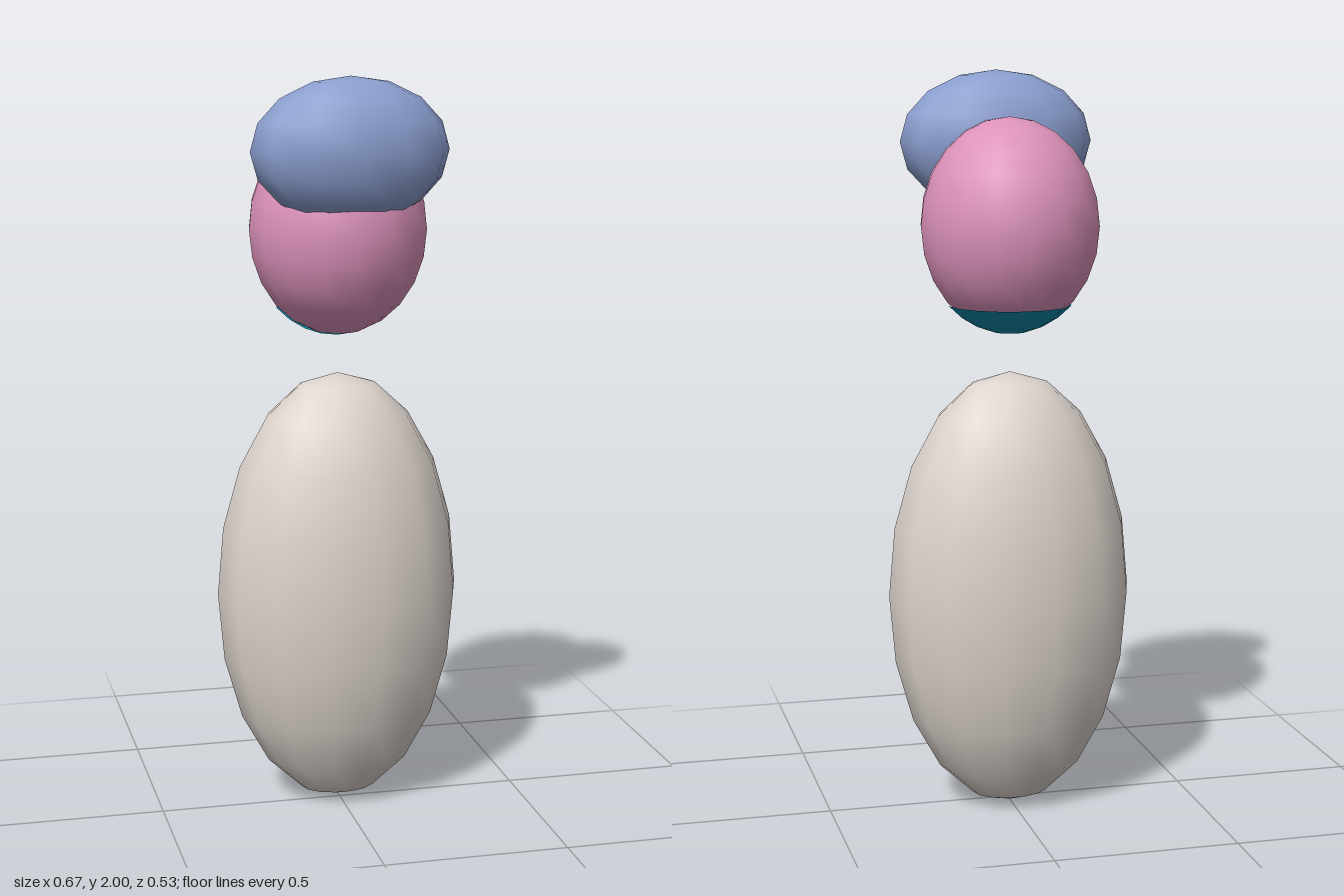
import * as THREE from 'three';

const material = (name, color) => {
  const m = new THREE.MeshStandardMaterial({ color });
  m.name = name;
  return m;
};

// Smooth-shaded ellipsoid; extra arguments limit it to a patch
function ellipsoid(name, mat, center, radii, segments, rows, ...range) {
  const geometry = new THREE.SphereGeometry(1, segments, rows, ...range);
  geometry.scale(...radii);
  // True ellipsoid normals
  const p = geometry.attributes.position, n = geometry.attributes.normal;
  const v = new THREE.Vector3();
  for (let i = 0; i < p.count; i++) {
    v.set(p.getX(i) / radii[0] ** 2, p.getY(i) / radii[1] ** 2, p.getZ(i) / radii[2] ** 2).normalize();
    n.setXYZ(i, v.x, v.y, v.z);
  }
  const mesh = new THREE.Mesh(geometry, mat);
  mesh.name = name;
  mesh.position.set(...center);
  return mesh;
}

export function createModel() {
  const stone = material('warm stone', 0xdcd3cc);
  const pink = material('pink', 0xdc92bb);
  const blue = material('soft blue', 0x8a9dce);
  const teal = material('teal', 0x0a88a8);
  teal.side = THREE.DoubleSide;

  const model = new THREE.Group();
  model.name = 'figure';
  const headCenter = [0, 1.595, -0.025];

  // Floating parts, bottom to top
  model.add(ellipsoid('body', stone, [0, 0.602, -0.025], [0.335, 0.602, 0.241], 14, 10));
  model.add(ellipsoid('head', pink, headCenter, [0.24, 0.285, 0.24], 16, 12));

  // Thin half-bowl over the lower back of the head
  const cut = Math.PI * 0.76;
  model.add(ellipsoid('neckPatch', teal, headCenter, [0.243, 0.2885, 0.243], 8, 4,
    Math.PI, Math.PI, cut, Math.PI - cut));

  // Wide tuft pushed into the front of the head
  model.add(ellipsoid('foreheadTuft', blue, [0, 1.81, 0.124], [0.265, 0.19, 0.14], 12, 8));
  return model;
}
